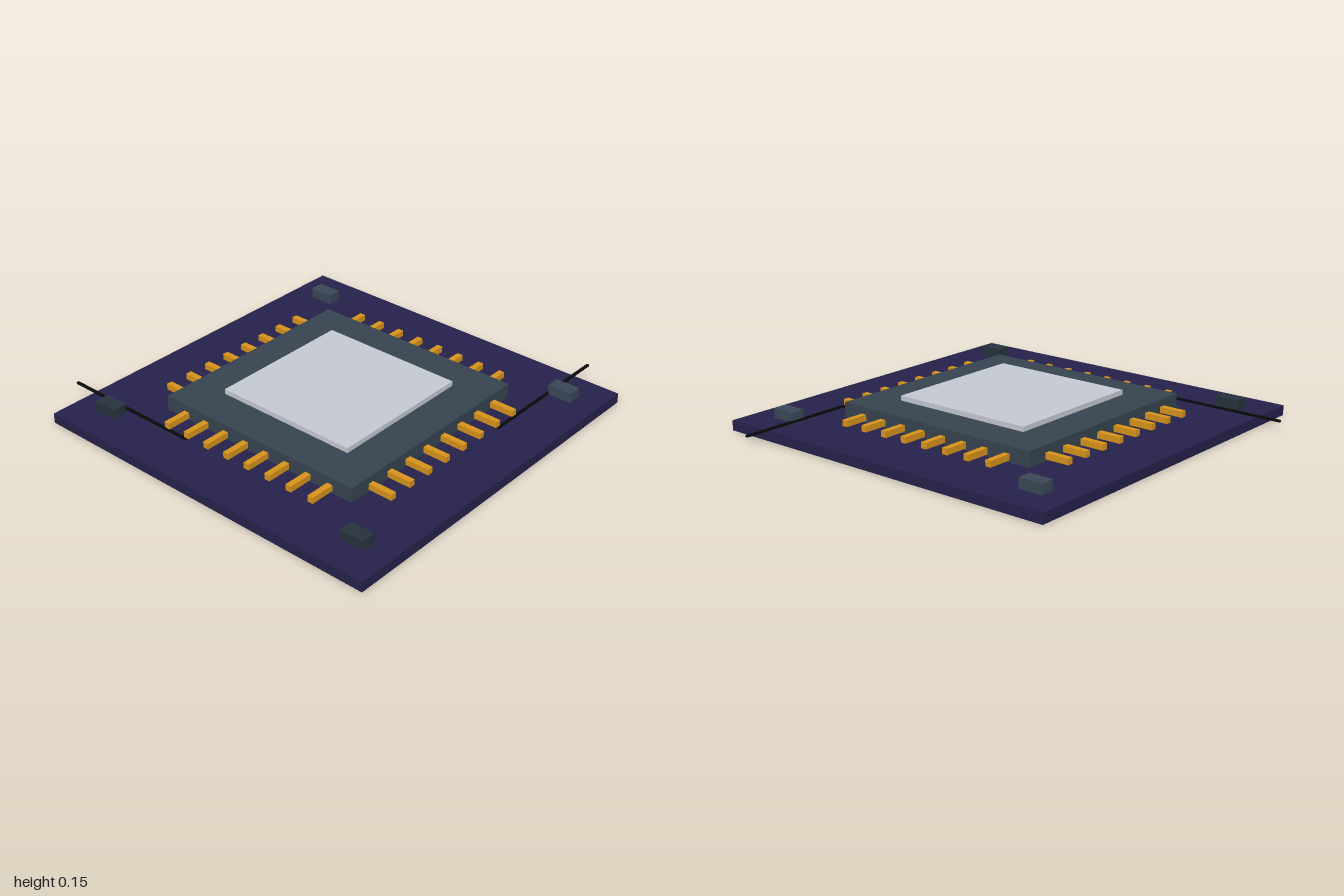
import * as THREE from 'three';

const mat = (color) => new THREE.MeshStandardMaterial({ color });

export function createModel() {
  const model = new THREE.Group();
  model.name = 'processorBoard';

  const navy = mat(0x25214a);
  const slate = mat(0x36434f);
  const silver = mat(0xc3c7d0);
  const gold = mat(0xd6921a);
  const black = mat(0x0a0a0c);
  const darkCap = mat(0x26313c);
  const lightCap = mat(0x3a4656);

  // Box whose base rests at height y
  function box(parent, name, material, [w, h, d], [x, y, z]) {
    const mesh = new THREE.Mesh(new THREE.BoxGeometry(w, h, d), material);
    mesh.position.set(x, y + h / 2, z);
    mesh.name = name;
    parent.add(mesh);
  }

  // Everything but the traces is centred on the board
  const C = 0.0625;
  const board = new THREE.Group();
  board.name = 'board';
  board.position.set(-C, 0, C);
  model.add(board);

  box(board, 'circuitBoard', navy, [1.875, 0.05, 1.875], [0, 0, 0]);
  box(board, 'chipPackage', slate, [1.125, 0.075, 1.125], [0, 0.05, 0]);
  box(board, 'heatSpreader', silver, [0.75, 0.025, 0.75], [0, 0.125, 0]);

  // Eight pins along each of the four sides
  const pins = new THREE.Group();
  pins.name = 'pins';
  board.add(pins);
  for (let i = 0; i < 8; i++) {
    const t = (i - 3.5) * 0.125;
    for (const s of [-1, 1]) {
      const out = s * 0.625;
      box(pins, 'sidePin', gold, [0.125, 0.03, 0.03], [out, 0.06, t]);
      box(pins, 'endPin', gold, [0.03, 0.03, 0.125], [t, 0.06, out]);
    }
  }

  // Capacitors near the corners, darker on the right-hand side
  for (const sx of [-1, 1]) {
    for (const sz of [-1, 1]) {
      box(board, 'capacitor', sx < 0 ? darkCap : lightCap,
        [0.072, 0.05, 0.125], [sx * 0.75, 0.05, sz * 0.75]);
    }
  }

  // Traces running past the board edges
  box(model, 'backTrace', black, [0.0125, 0.01, 0.75], [-0.75, 0.05, -0.625]);
  box(model, 'frontTrace', black, [0.75, 0.01, 0.0125], [0.625, 0.05, 0.75]);

  return model;
}
